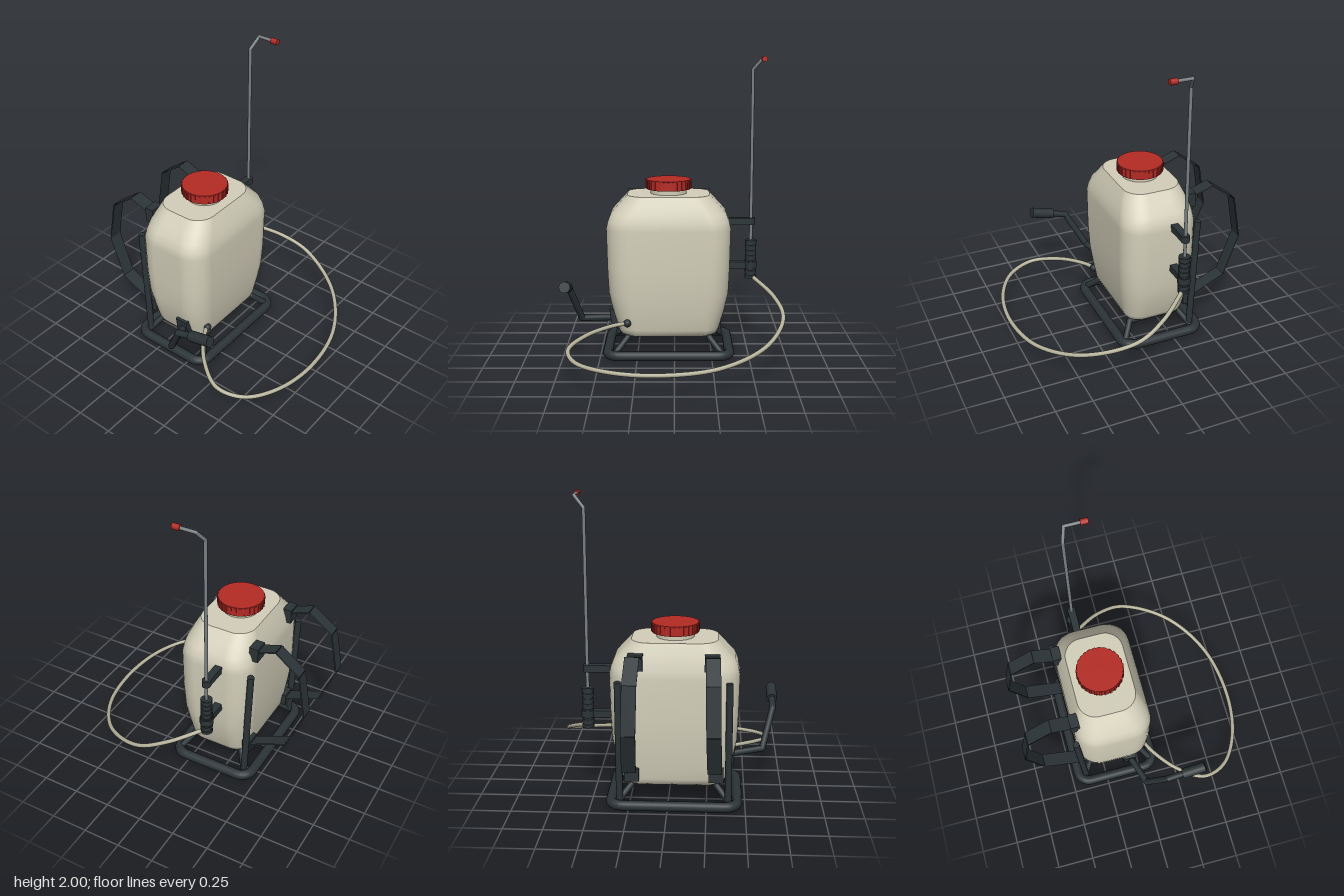
import * as THREE from 'three';

const mat = (color, side = THREE.FrontSide) => new THREE.MeshStandardMaterial({ color, side });
const V = (p) => new THREE.Vector3(...p);
const CX = -0.04, CZ = -0.17; // centre of tank and frame

export function createModel() {
  const root = new THREE.Group();
  const shell = mat(0xd3cfba), dark = mat(0x2c3437), red = mat(0xb52a24);
  const metal = mat(0x7b8284), hoseMat = mat(0xb5b29b), webbing = mat(0x2c3437, THREE.DoubleSide);

  const add = (name, geo, material, pos = [0, 0, 0], parent = root) => {
    const m = new THREE.Mesh(geo, material);
    m.name = name;
    m.position.set(...pos);
    parent.add(m);
    return m;
  };
  const group = (name) => {
    const g = new THREE.Group();
    g.name = name;
    root.add(g);
    return g;
  };
  // straight round bar between two points
  const rod = (name, a, b, r, material, parent = root) => {
    const p = V(a), q = V(b), d = q.clone().sub(p);
    const m = add(name, new THREE.CylinderGeometry(r, r, d.length(), 16), material,
      p.clone().add(q).multiplyScalar(0.5).toArray(), parent);
    m.quaternion.setFromUnitVectors(new THREE.Vector3(0, 1, 0), d.normalize());
    return m;
  };
  // bent bar: rods with round joints
  const bentRod = (name, pts, r, material) => {
    const g = group(name);
    pts.forEach((p, i) => {
      if (i) rod(name + 'Segment', pts[i - 1], p, r, material, g);
      if (i && i < pts.length - 1) add(name + 'Joint', new THREE.SphereGeometry(r, 16, 10), material, p, g);
    });
    return g;
  };
  // rounded rectangle outline in the xz plane
  const outline = (x0, x1, z0, z1, r, n = 8) => {
    const pts = [];
    [[x1, z1], [x0, z1], [x0, z0], [x1, z0]].forEach(([x, z], c) => {
      const ox = x === x1 ? x - r : x + r, oz = z === z1 ? z - r : z + r;
      for (let i = 0; i <= n; i++) {
        const a = (c + i / n) * Math.PI / 2;
        pts.push([ox + r * Math.cos(a), oz + r * Math.sin(a)]);
      }
    });
    return pts;
  };

  // Tank: [y, half width, z back, z front, corner radius]
  const sections = [
    [0.14, 0.30, -0.35, 0.015, 0.09], [0.155, 0.325, -0.37, 0.035, 0.1], [0.19, 0.343, -0.385, 0.05, 0.12],
    [0.3, 0.375, -0.4, 0.068, 0.14], [0.43, 0.403, -0.415, 0.085, 0.15], [0.6, 0.41, -0.425, 0.094, 0.15],
    [0.87, 0.416, -0.425, 0.096, 0.15], [0.92, 0.405, -0.415, 0.088, 0.15], [0.97, 0.384, -0.404, 0.075, 0.15],
    [1.03, 0.33, -0.385, 0.05, 0.14], [1.09, 0.275, -0.362, 0.022, 0.12],
  ];
  const pos = [], idx = [];
  const rings = sections.map(([y, w, z0, z1, r]) =>
    outline(CX - w, CX + w, z0, z1, r).map(([x, z]) => [x, y, z]));
  const n = rings[0].length;
  rings.forEach((ring) => ring.forEach((p) => pos.push(...p)));
  for (let i = 0; i < rings.length - 1; i++) {
    for (let j = 0; j < n; j++) {
      const k = (j + 1) % n, a = i * n + j, b = i * n + k;
      idx.push(a, a + n, b, b, a + n, b + n);
    }
  }
  // flat ends with their own vertices, so the rims stay crisp
  [[rings[0], false], [rings[rings.length - 1], true]].forEach(([ring, up]) => {
    const c = pos.length / 3;
    pos.push(CX, ring[0][1], CZ);
    ring.forEach((p) => pos.push(...p));
    for (let j = 0; j < n; j++) {
      const a = c + 1 + j, b = c + 1 + (j + 1) % n;
      idx.push(c, up ? b : a, up ? a : b);
    }
  });
  const tank = new THREE.BufferGeometry();
  tank.setAttribute('position', new THREE.Float32BufferAttribute(pos, 3));
  tank.setIndex(idx);
  tank.computeVertexNormals();
  add('tank', tank, shell);

  // Filler neck and ribbed cap
  add('fillerNeck', new THREE.CylinderGeometry(0.122, 0.122, 0.05, 40), shell, [CX, 1.107, CZ]);
  const cap = group('cap');
  cap.position.set(CX, 1.153, CZ);
  add('capBody', new THREE.CylinderGeometry(0.15, 0.15, 0.064, 48), red, [0, 0, 0], cap);
  for (let i = 0; i < 28; i++) {
    const a = i / 28 * Math.PI * 2;
    const rib = add('capRib', new THREE.BoxGeometry(0.012, 0.056, 0.016), red,
      [0.149 * Math.cos(a), 0, 0.149 * Math.sin(a)], cap);
    rib.rotation.y = -a;
  }

  // Base frame: closed tube loop with rounded corners
  const loop = outline(CX - 0.408, CX + 0.408, CZ - 0.278, CZ + 0.278, 0.08, 6);
  const path = new THREE.CurvePath();
  loop.forEach(([x, z], i) => {
    const [x2, z2] = loop[(i + 1) % loop.length];
    path.add(new THREE.LineCurve3(V([x, 0.033, z]), V([x2, 0.033, z2])));
  });
  add('baseFrame', new THREE.TubeGeometry(path, 200, 0.033, 14, true), dark);

  for (const s of [-1, 1]) {
    const at = (dx) => CX + s * dx;
    rod('backUpright', [at(0.35), 0.04, -0.395], [at(0.35), 0.855, -0.43], 0.022, dark);
    bentRod('cradleRail', [[at(0.36), 0.04, 0.09], [at(0.275), 0.135, 0.02],
      [at(0.275), 0.135, -0.335], [at(0.36), 0.04, -0.4]], 0.021, dark);

    // Shoulder strap: flat ribbon through [dx, y, z], with an anchor at each end
    const line = [[0.24, 1.0, -0.41], [0.245, 1.055, -0.565], [0.25, 0.93, -0.73],
      [0.255, 0.63, -0.78], [0.263, 0.355, -0.67], [0.27, 0.235, -0.39]];
    const v = [], f = [];
    line.forEach(([dx, y, z], i) => {
      // own vertices per panel keep the folds sharp
      if (!i) return;
      const [px, py, pz] = line[i - 1], o = v.length / 3, h = 0.045;
      const dy = y - py, dz = z - pz, l = Math.hypot(dy, dz);
      const ny = -dz / l * 0.004, nz = dy / l * 0.004;
      for (const k of [1, -1]) {
        for (const [cx, cy, cz] of [[px, py, pz], [dx, y, z]]) {
          v.push(at(cx) - h, cy + k * ny, cz + k * nz, at(cx) + h, cy + k * ny, cz + k * nz);
        }
      }
      f.push(o, o + 1, o + 2, o + 1, o + 3, o + 2, o + 4, o + 6, o + 5, o + 5, o + 6, o + 7);
    });
    const strap = new THREE.BufferGeometry();
    strap.setAttribute('position', new THREE.Float32BufferAttribute(v, 3));
    strap.setIndex(f);
    strap.computeVertexNormals();
    add('shoulderStrap', strap, webbing);
    add('upperStrapAnchor', new THREE.BoxGeometry(0.095, 0.1, 0.06), dark, [at(0.24), 0.98, -0.412]);
    add('lowerStrapAnchor', new THREE.BoxGeometry(0.095, 0.085, 0.06), dark, [at(0.27), 0.23, -0.392]);
  }

  // Pump lever
  const pivot = add('pumpPivot', new THREE.BoxGeometry(0.06, 0.13, 0.09), dark, [-0.4, 0.255, -0.07]);
  pivot.rotation.z = 0.12;
  bentRod('pumpLever', [[-0.38, 0.25, -0.075], [-0.62, 0.265, 0.0], [-0.69, 0.508, 0.13], [-0.69, 0.545, 0.25]], 0.022, dark);
  rod('pumpGrip', [-0.69, 0.54, 0.232], [-0.69, 0.58, 0.388], 0.036, dark);

  // Hose from outlet to spray handle
  const hose = new THREE.CatmullRomCurve3([
    [-0.31, 0.245, 0.05], [-0.42, 0.24, 0.11], [-0.57, 0.22, 0.24], [-0.67, 0.185, 0.42], [-0.61, 0.157, 0.59],
    [-0.4, 0.143, 0.72], [-0.08, 0.14, 0.768], [0.28, 0.16, 0.7], [0.57, 0.225, 0.49],
    [0.71, 0.325, 0.18], [0.665, 0.41, -0.02], [0.525, 0.505, -0.23],
  ].map(V));
  add('hose', new THREE.TubeGeometry(hose, 140, 0.014, 12), hoseMat);
  add('hoseOutlet', new THREE.SphereGeometry(0.026, 16, 12), dark, [-0.315, 0.245, 0.06]);

  // Spray wand: ribbed handle, rod and nozzle
  const WX = 0.523, WZ = -0.23;
  add('wandHandle', new THREE.CylinderGeometry(0.034, 0.034, 0.27, 24), dark, [WX, 0.62, WZ]);
  for (let i = 0; i < 8; i++) {
    add('handleRib', new THREE.CylinderGeometry(0.039, 0.039, 0.02, 24), dark, [WX, 0.497 + i * 0.0352, WZ]);
  }
  bentRod('wandRod', [[WX, 0.74, WZ], [WX, 1.91, WZ], [0.585, 1.984, -0.205], [0.585, 1.984, -0.09]], 0.011, metal);
  rod('nozzle', [0.585, 1.984, -0.107], [0.585, 1.984, -0.058], 0.019, red);

  // Clips holding the wand to the tank side
  for (const [y, r] of [[0.885, 0.028], [0.58, 0.044]]) {
    add('wandClipArm', new THREE.BoxGeometry(0.17, 0.046, 0.05), dark, [0.44, y, WZ]);
    add('wandClipRing', new THREE.CylinderGeometry(r, r, 0.046, 24), dark, [WX, y, WZ]);
  }
  return root;
}
